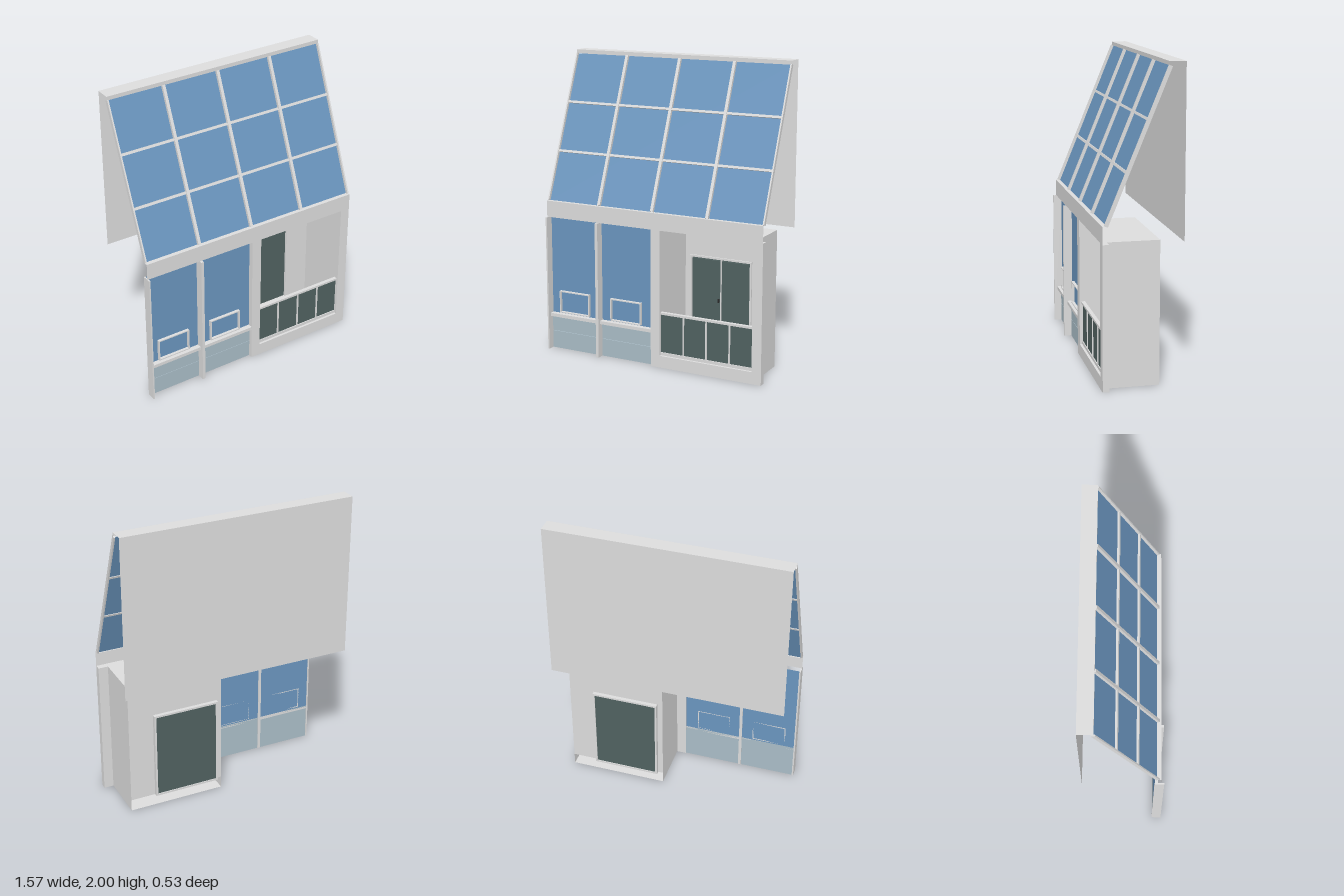
import * as THREE from 'three';

const mat = (name, color, side = THREE.FrontSide) => {
  const m = new THREE.MeshStandardMaterial({ color, side });
  m.name = name;
  return m;
};

export function createModel() {
  const root = new THREE.Group();
  root.name = 'glazedFacade';
  const grey = mat('lightGrey', 0xdcdcdc, THREE.DoubleSide);
  const glass = mat('glassBlue', 0x6a95be, THREE.DoubleSide);
  const green = mat('darkGreen', 0x506160, THREE.DoubleSide);
  const panel = mat('paleBluePanel', 0xa9bcc6, THREE.DoubleSide);
  const dark = mat('darkMetal', 0x2c2c2c);

  const add = (parent, name, geo, m) => {
    const mesh = new THREE.Mesh(geo, m);
    mesh.name = name;
    parent.add(mesh);
    return mesh;
  };
  // box given by its minimum and maximum on each axis
  const box = (name, m, x0, x1, y0, y1, z0, z1, parent = root) => {
    const b = add(parent, name, new THREE.BoxGeometry(x1 - x0, y1 - y0, z1 - z0), m);
    b.position.set((x0 + x1) / 2, (y0 + y1) / 2, (z0 + z1) / 2);
    return b;
  };
  // flat sheets across each axis
  const sheetZ = (name, m, x0, x1, y0, y1, z, parent = root) => {
    const s = add(parent, name, new THREE.PlaneGeometry(x1 - x0, y1 - y0), m);
    s.position.set((x0 + x1) / 2, (y0 + y1) / 2, z);
    return s;
  };
  const sheetY = (name, m, x0, x1, y, z0, z1, parent = root) => {
    const s = add(parent, name, new THREE.PlaneGeometry(x1 - x0, z1 - z0), m);
    s.rotation.x = -Math.PI / 2;
    s.position.set((x0 + x1) / 2, y, (z0 + z1) / 2);
    return s;
  };
  const sheetX = (name, m, x, y0, y1, z0, z1, parent = root) => {
    const s = add(parent, name, new THREE.PlaneGeometry(z1 - z0, y1 - y0), m);
    s.rotation.y = Math.PI / 2;
    s.position.set(x, (y0 + y1) / 2, (z0 + z1) / 2);
    return s;
  };
  const rect = (P, x0, x1, y0, y1) => {
    const p = new P();
    p.moveTo(x0, y0);
    p.lineTo(x1, y0);
    p.lineTo(x1, y1);
    p.lineTo(x0, y1);
    p.closePath();
    return p;
  };
  // rectangular border of width w
  const border = (name, m, x0, x1, y0, y1, w, z0, z1) => {
    const s = rect(THREE.Shape, x0, x1, y0, y1);
    s.holes.push(rect(THREE.Path, x0 + w, x1 - w, y0 + w, y1 - w));
    const e = add(root, name, new THREE.ExtrudeGeometry(s, { depth: z1 - z0, bevelEnabled: false }), m);
    e.position.z = z0;
    return e;
  };

  const W = 0.785, FRONT = 0.242, GLASS = 0.205;

  // Sloping glazed roof
  const roof = new THREE.Group();
  roof.name = 'slopingGlazing';
  roof.position.set(0, 1.5025, 0.025);
  roof.rotation.x = -0.391;
  root.add(roof);
  sheetZ('roofGlass', glass, -0.78, 0.78, -0.511, 0.511, -0.006, roof);
  for (const x of [-0.78, -0.393, 0, 0.393, 0.78]) {
    const w = Math.abs(x) > 0.7 ? 0.005 : 0.01;
    box('roofMullion', grey, x - w, x + w, -0.511, 0.511, -0.0125, 0.0125, roof);
  }
  for (const y of [-0.17, 0.17])
    box('roofRail', grey, -0.78, 0.78, y - 0.008, y + 0.008, -0.01, 0.008, roof);

  // Rear wall, ridge top and ridge fascia
  sheetZ('rearWall', grey, -W, W, 0.915, 2, -0.264);
  sheetY('ridgeTop', grey, -W, W, 2, -0.264, -0.165);
  sheetZ('ridgeFascia', grey, -W, W, 1.975, 2, -0.165);

  // Beam and balcony surround in one sheet with an opening
  const face = new THREE.Shape();
  [[-W, 0.92], [0, 0.92], [0, 0], [W, 0], [W, 1.03], [-W, 1.03]].forEach(([x, y], i) =>
    i ? face.lineTo(x, y) : face.moveTo(x, y));
  face.closePath();
  face.holes.push(rect(THREE.Path, 0.065, 0.72, 0.08, 0.92));
  add(root, 'frontWall', new THREE.ShapeGeometry(face), grey).position.z = FRONT;
  sheetY('beamTop', grey, -W, W, 1.03, 0.205, FRONT);
  for (const [a, b] of [[0, 0.065], [0.72, W]])
    box('wallPier', grey, a, b, 0, 0.92, 0.2, FRONT - 0.001);
  box('balconyKerb', grey, 0.065, 0.72, 0, 0.08, 0.2, FRONT - 0.001);

  // Lower windows with infill panels, sill and mullions
  sheetZ('lowerGlass', glass, -0.78, 0, 0.25, 0.92, GLASS);
  sheetZ('infillBacking', panel, -0.78, 0, 0, 0.25, GLASS);
  for (const [a, b] of [[-0.775, -0.405], [-0.385, 0]]) {
    box('lowerInfill', panel, a, b, 0, 0.119, GLASS, GLASS + 0.008);
    box('upperInfill', panel, a, b, 0.122, 0.228, GLASS, GLASS + 0.008);
    box('sill', grey, a, b, 0.228, 0.25, GLASS, 0.24);
  }
  for (const [a, b] of [[-W, -0.775], [-0.405, -0.385]])
    box('lowerMullion', grey, a, b, 0, 0.92, 0.2, 0.263);
  for (const x of [-0.71, -0.315])
    border('ventFrame', grey, x, x + 0.23, 0.258, 0.41, 0.007, GLASS, GLASS + 0.02);

  // Balcony niche: sides, ceiling, floor and back with a door opening
  for (const x of [0.065, 0.72]) sheetX('nicheSide', grey, x, 0, 0.92, -0.13, 0.2);
  sheetY('nicheCeiling', grey, 0.065, 0.72, 0.92, -0.13, FRONT);
  sheetY('nicheFloor', grey, 0.065, 0.72, 0, -0.13, 0.2);
  const back = rect(THREE.Shape, 0.065, 0.72, 0.08, 0.92);
  back.holes.push(rect(THREE.Path, 0.112, 0.538, 0.09, 0.67));
  add(root, 'nicheBack', new THREE.ShapeGeometry(back), grey).position.z = -0.13;

  // Double door
  border('doorFrame', grey, 0.1, 0.55, 0.08, 0.685, 0.013, -0.155, -0.12);
  for (const [a, b] of [[0.113, 0.322], [0.33, 0.537]])
    box('doorLeaf', green, a, b, 0.093, 0.66, -0.148, -0.135);
  box('doorStile', grey, 0.322, 0.33, 0.093, 0.67, -0.145, -0.13);
  sheetZ('doorBack', green, 0.113, 0.537, 0.093, 0.672, -0.15);
  box('doorHandle', dark, 0.305, 0.313, 0.375, 0.4, -0.135, -0.122);

  // Balcony railing with four infill panels
  box('topRail', grey, 0.065, 0.72, 0.358, 0.372, 0.205, 0.23);
  box('bottomRail', grey, 0.065, 0.72, 0.08, 0.1, 0.21, 0.225);
  for (let i = 0; i < 4; i++) {
    const x = 0.065 + i * 0.16375;
    box('railingPanel', green, x, x + 0.16375, 0.1, 0.358, 0.213, 0.219);
    if (i) box('railingPost', grey, x - 0.005, x + 0.005, 0.1, 0.358, 0.208, 0.226);
  }
  return root;
}
